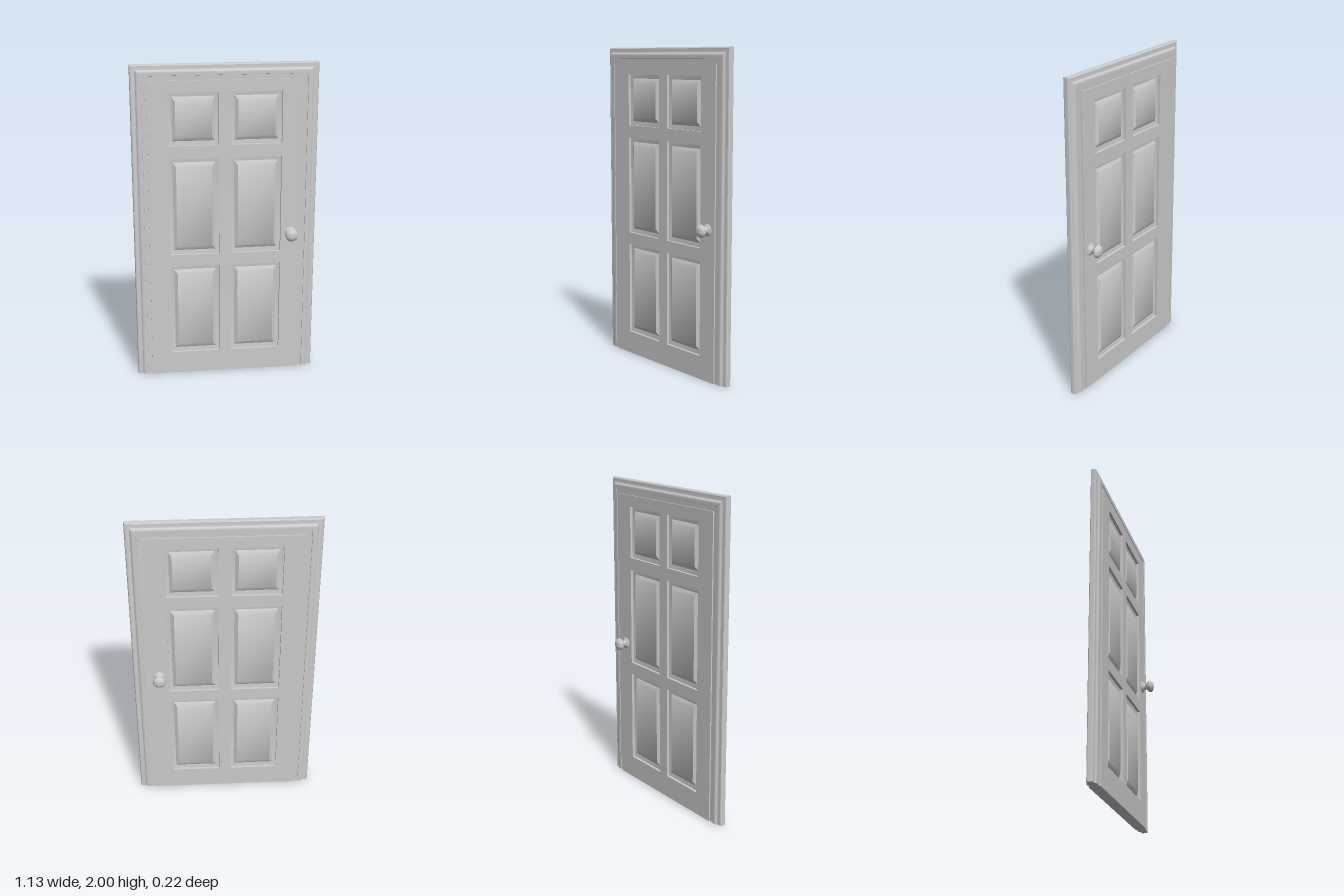
import * as THREE from 'three';
import { toCreasedNormals } from 'three/addons/utils/BufferGeometryUtils.js';

const grey = new THREE.MeshStandardMaterial({ color: 0xcccccc });
const HALF_W = 0.567, HEIGHT = 2, SLAB_Z = 0.035;

function add(parent, geometry, name) {
  const mesh = new THREE.Mesh(geometry, grey);
  mesh.name = name;
  parent.add(mesh);
  return mesh;
}

// Sections are closed loops with equal point counts; neighbours are joined by quads.
function loft(sections, capStrips) {
  const pos = [];
  const quad = (a, b, c, d) => [a, b, c, a, c, d].forEach(p => pos.push(...p));
  for (let s = 0; s < sections.length - 1; s++) {
    const A = sections[s], B = sections[s + 1], n = A.length;
    for (let i = 0; i < n; i++) {
      const j = (i + 1) % n;
      quad(A[i], A[j], B[j], B[i]);
    }
  }
  capStrips(quad);
  const g = new THREE.BufferGeometry();
  g.setAttribute('position', new THREE.Float32BufferAttribute(pos, 3));
  return toCreasedNormals(g, 0.5);
}

// Moulded casing with jamb, mitred around the two sides and the head.
function casingGeometry() {
  // [distance in from the outer edge, half thickness]
  const half = [[0, 0.01], [0.003, 0.016], [0.008, 0.019], [0.028, 0.019], [0.033, 0.021],
    [0.037, 0.026], [0.043, 0.03], [0.05, 0.031], [0.066, 0.03], [0.067, 0.027], [0.098, 0.027]];
  const loop = [...half, ...half.map(([d, z]) => [d, -z]).reverse()];
  const station = (side, top) =>
    loop.map(([d, z]) => [side * (HALF_W - d), top ? HEIGHT - d : 0, z]);
  const path = [station(-1, false), station(-1, true), station(1, true), station(1, false)];
  return loft(path, quad => {
    const n = loop.length, start = path[0], end = path[3];
    for (let i = 0; i < half.length - 1; i++) {
      const a = i, b = i + 1, c = n - 2 - i, d = n - 1 - i;
      quad(start[d], start[c], start[b], start[a]);
      quad(end[a], end[b], end[c], end[d]);
    }
  });
}

// Raised field: sunken flat border, bevel, then a flat centre, facing +z.
function panelGeometry(w, h) {
  const ring = (ix, iy, z) => {
    const x = w / 2 - ix, y = h / 2 - iy;
    return [[-x, -y, z], [x, -y, z], [x, y, z], [-x, y, z]];
  };
  const rings = [ring(0, 0, 0.018), ring(0.022, 0.026, 0.014), ring(0.042, 0.054, 0.029)];
  return loft(rings, quad => quad(...rings[2]));
}

function rectPath(x0, x1, y0, y1) {
  return new THREE.Path([[x0, y0], [x0, y1], [x1, y1], [x1, y0]].map(p => new THREE.Vector2(...p)));
}

export function createModel() {
  const door = new THREE.Group();
  door.name = 'panelledDoor';

  add(door, casingGeometry(), 'doorFrame');

  // Stiles and rails: one slab with six openings
  const columns = [[-0.344, -0.04], [0.036, 0.346]];
  const rows = [[0.145, 0.735], [0.813, 1.43], [1.51, 1.833]];
  const outline = new THREE.Shape([[-0.473, 0], [0.471, 0], [0.471, 1.905], [-0.473, 1.905]]
    .map(p => new THREE.Vector2(...p)));
  for (const [x0, x1] of columns)
    for (const [y0, y1] of rows) outline.holes.push(rectPath(x0, x1, y0, y1));
  const slab = new THREE.ExtrudeGeometry(outline, { depth: 2 * SLAB_Z, bevelEnabled: false });
  slab.translate(0, 0, -SLAB_Z);
  add(door, slab, 'stilesAndRails');

  // Raised panels on both faces
  for (const [x0, x1] of columns)
    for (const [y0, y1] of rows) {
      const geometry = panelGeometry(x1 - x0, y1 - y0);
      for (const turn of [0, Math.PI]) {
        const panel = add(door, geometry, turn ? 'backPanel' : 'frontPanel');
        panel.position.set((x0 + x1) / 2, (y0 + y1) / 2, 0);
        panel.rotation.y = turn;
      }
    }

  // Turned knob with rosette and neck, on both faces
  const profile = [[0.0365, 0.034], [0.0365, 0.039], [0.033, 0.042], [0.026, 0.044],
    [0.02, 0.049], [0.017, 0.055], [0.017, 0.062], [0.02, 0.067]];
  for (let i = 0; i <= 12; i++) {
    const a = -0.95 + (Math.PI / 2 + 0.95) * i / 12;
    profile.push([i === 12 ? 0 : 0.0395 * Math.cos(a), 0.0885 + 0.0235 * Math.sin(a)]);
  }
  const knobGeometry = toCreasedNormals(new THREE.LatheGeometry(
    profile.map(p => new THREE.Vector2(...p)), 32).rotateX(Math.PI / 2), 0.7);
  for (const turn of [0, Math.PI]) {
    const knob = add(door, knobGeometry, turn ? 'backKnob' : 'frontKnob');
    knob.position.set(0.408, 0.932, 0);
    knob.rotation.y = turn;
  }
  return door;
}
